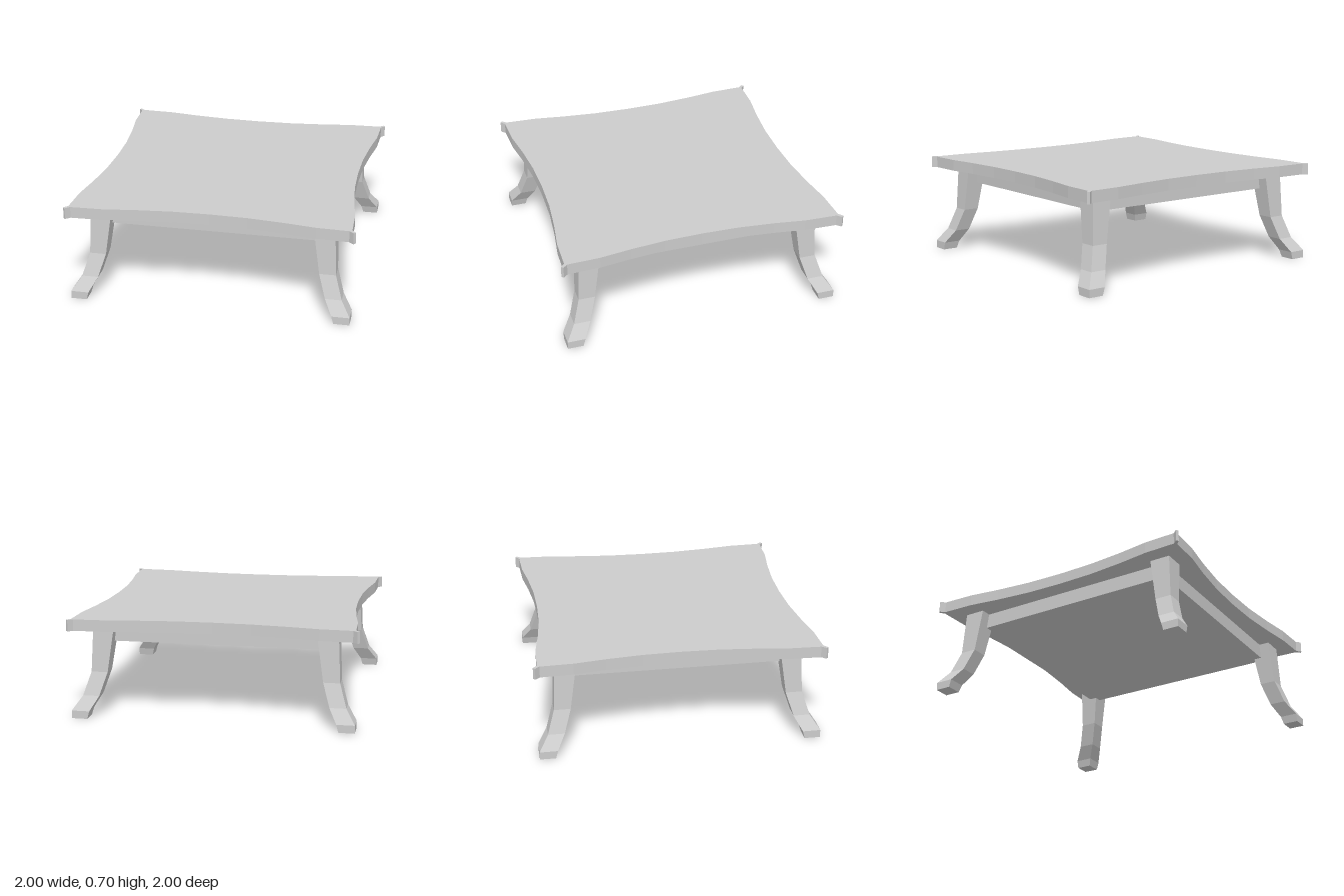
import * as THREE from 'three';

export function createModel() {
  const model = new THREE.Group();
  model.name = 'lowTable';
  const grey = new THREE.MeshStandardMaterial({ color: 0xcccccc, flatShading: true });
  grey.name = 'plainGrey';

  const add = (name, geometry) => {
    const mesh = new THREE.Mesh(geometry, grey);
    mesh.name = name;
    model.add(mesh);
    return mesh;
  };

  // Table top: four concave sides meeting at small diagonal corner tips
  const half = [[0.26, 0.907], [0.51, 0.932], [0.73, 0.964], [0.955, 0.972]];
  const side = [
    ...half.slice().reverse().map(([a, d]) => [-a, d]),
    [0, 0.9],
    ...half,
    [0.986, 1], [1, 0.986],
  ];
  const outline = [];
  for (let i = 0; i < 4; i++) {
    for (const [x, y] of side) {
      outline.push(new THREE.Vector2(x, y).rotateAround(new THREE.Vector2(), -i * Math.PI / 2));
    }
  }
  const top = new THREE.ExtrudeGeometry(new THREE.Shape(outline), { depth: 0.08, bevelEnabled: false });
  top.rotateX(-Math.PI / 2);
  top.translate(0, 0.62, 0);
  add('tableTop', top);

  // Apron block under the top
  const apron = new THREE.BoxGeometry(1.55, 0.107, 1.55);
  apron.translate(0, 0.5685, 0);
  add('apron', apron);

  // Legs: square sections swept outward along the diagonal [height, inner, outer]
  const sections = [
    [0.62, 0.705, 0.85],
    [0.31, 0.75, 0.865],
    [0.15, 0.80, 0.915],
    [0.055, 0.855, 0.98],
    [0, 0.87, 0.98],
  ];
  const leg = new THREE.BoxGeometry(1, 4, 1, 1, 4, 1);
  const p = leg.attributes.position;
  for (let i = 0; i < p.count; i++) {
    const [y, inner, outer] = sections[Math.round(2 - p.getY(i))];
    p.setXYZ(i, p.getX(i) > 0 ? outer : inner, y, p.getZ(i) > 0 ? outer : inner);
  }
  leg.computeVertexNormals();
  ['frontLeftLeg', 'backLeftLeg', 'backRightLeg', 'frontRightLeg'].forEach((name, i) => {
    add(name, leg).rotation.y = i * Math.PI / 2;
  });

  return model;
}
